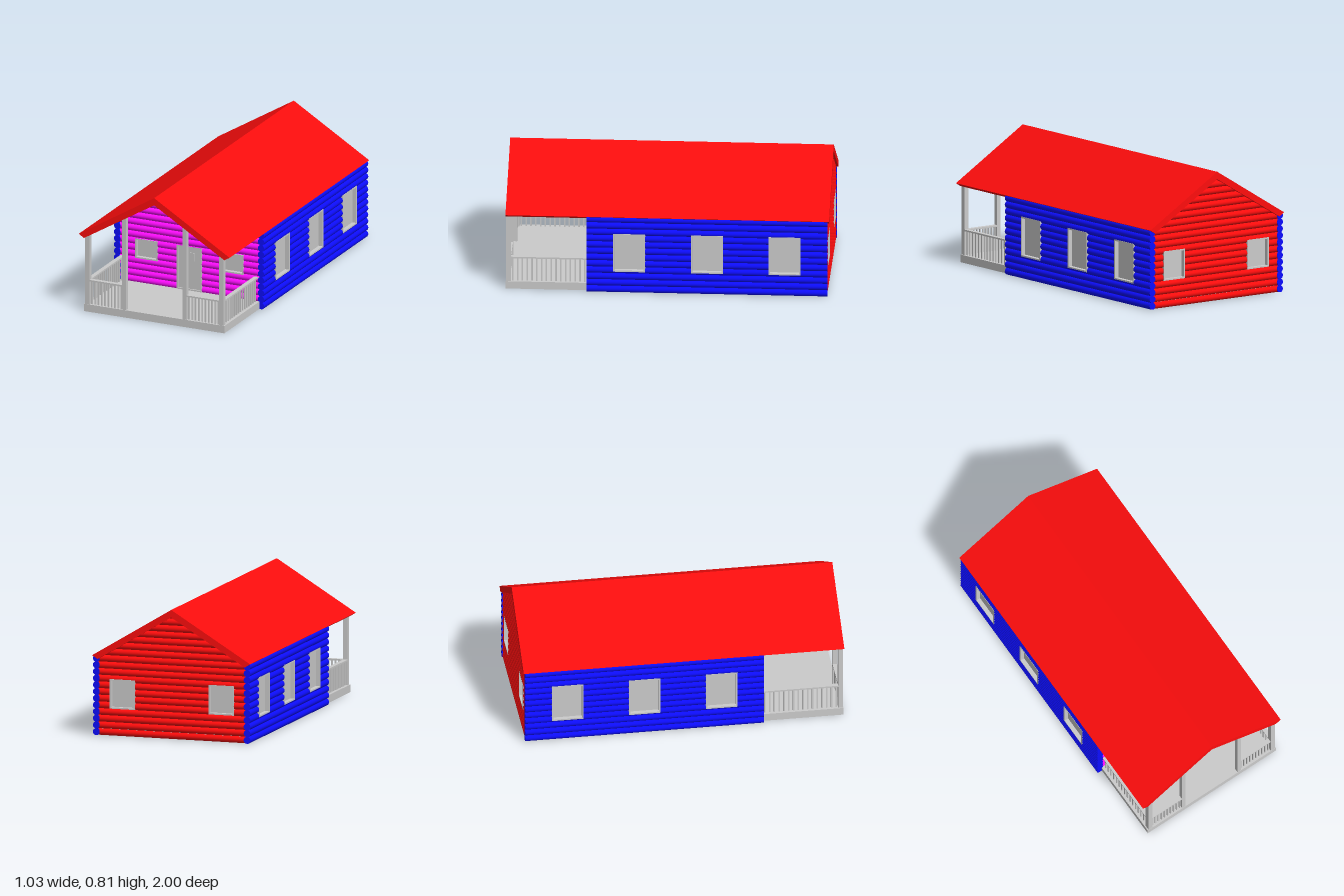
import * as THREE from 'three';
import { mergeGeometries } from 'three/addons/utils/BufferGeometryUtils.js';

const STEP = 0.0418, R = 0.0222;          // log spacing and radius
const SLOPE = 0.6, INNER_PEAK = 0.765;    // underside of the roof
const ceilingAt = x => INNER_PEAK - SLOPE * Math.abs(x);
const mat = color => new THREE.MeshStandardMaterial({ color });
const grey = mat(0xcccccc), red = mat(0xff0d0d), blue = mat(0x0d0dff), magenta = mat(0xff0dff);

function add(parent, name, geometry, material, x = 0, y = 0, z = 0) {
  const mesh = new THREE.Mesh(geometry, material);
  mesh.name = name;
  mesh.position.set(x, y, z);
  parent.add(mesh);
  return mesh;
}

// box given by its limits on each axis
function block(parent, name, [x0, x1], [y0, y1], [z0, z1], material = grey) {
  return add(parent, name, new THREE.BoxGeometry(x1 - x0, y1 - y0, z1 - z0), material,
    (x0 + x1) / 2, (y0 + y1) / 2, (z0 + z1) / 2);
}

// one piece of log along x, kept between heights lo and hi and, on gables, under the roof
function logPiece(x0, x1, cy, lo, hi, gable) {
  const g = new THREE.CylinderGeometry(R, R, x1 - x0, 16);
  g.rotateZ(Math.PI / 2).translate((x0 + x1) / 2, cy, 0);
  const p = g.attributes.position;
  for (let i = 0; i < p.count; i++) {
    const y = Math.min(hi, Math.max(lo, p.getY(i)));
    p.setY(i, y);
    if (gable) {
      const limit = Math.max(0, (INNER_PEAK - y) / SLOPE);
      p.setX(i, Math.max(-limit, Math.min(limit, p.getX(i))));
    }
  }
  return g;
}

// frame and recessed panel filling an opening [x0, x1, y0, y1]
function fillOpening(wall, name, [x0, x1, y0, y1], panelZ) {
  const t = 0.009;
  const rect = (S, a, b, c, d) => new S().moveTo(a, c).lineTo(b, c).lineTo(b, d).lineTo(a, d).closePath();
  const shape = rect(THREE.Shape, x0, x1, y0, y1);
  shape.holes.push(rect(THREE.Path, x0 + t, x1 - t, y0 + t, y1 - t));
  const frame = new THREE.ExtrudeGeometry(shape, { depth: 0.045, bevelEnabled: false });
  add(wall, name + 'Frame', frame, grey, 0, 0, -0.022);
  block(wall, name + 'Panel', [x0 + t, x1 - t], [y0 + t, y1 - t], [panelZ - 0.012, panelZ]);
}

// wall of stacked logs facing +z, with openings left free
function logWall(name, length, rows, material, openings, gable = false) {
  const wall = new THREE.Group(), pieces = [];
  wall.name = name;
  for (let i = 0; i < rows; i++) {
    const cy = (i + 0.5) * STEP, low = cy - R, high = cy + R;
    let x = -length / 2;
    for (const [x0, x1, y0, y1] of openings) {
      if (high <= y0 || low >= y1) continue;
      pieces.push(logPiece(x, x0, cy, 0, 9, gable));
      if (low < y0) pieces.push(logPiece(x0, x1, cy, 0, y0, gable));
      if (high > y1) pieces.push(logPiece(x0, x1, cy, y1, 9, gable));
      x = x1;
    }
    pieces.push(logPiece(x, length / 2, cy, 0, 9, gable));
  }
  add(wall, name + 'Logs', mergeGeometries(pieces), material);
  return wall;
}

// post whose top follows the slope of the roof
function post(parent, x0, x1) {
  const g = new THREE.BoxGeometry(x1 - x0, 1, 0.03);
  g.translate((x0 + x1) / 2, 0, 0.983);
  const p = g.attributes.position;
  for (let i = 0; i < p.count; i++) p.setY(i, p.getY(i) < 0 ? 0.045 : ceilingAt(p.getX(i)) + 0.004);
  add(parent, 'porchPost', g, grey);
}

// handrail with balusters, along x
function railing(length, count) {
  const g = new THREE.Group();
  g.name = 'railing';
  block(g, 'handrail', [-length / 2, length / 2], [0.198, 0.208], [-0.014, 0.014]);
  for (let i = 0; i < count; i++) {
    const x = ((i + 0.5) / count - 0.5) * length;
    block(g, 'baluster', [x - 0.0045, x + 0.0045], [0.048, 0.2], [-0.0045, 0.0045]);
  }
  return g;
}

export function createModel() {
  const house = new THREE.Group();
  house.name = 'logCabin';

  // floor slab under house and porch
  block(house, 'floor', [-0.48, 0.48], [0, 0.048], [-0.975, 1]);

  // side walls with three windows each
  const sideWindows = [-0.48, 0, 0.48].map(c => [c - 0.099, c + 0.099, 0.14, 0.39]);
  for (const s of [-1, 1]) {
    const wall = logWall(s > 0 ? 'leftWall' : 'rightWall', 1.49, 12, blue, sideWindows);
    sideWindows.forEach(o => fillOpening(wall, 'sideWindow', o, -0.004));
    wall.rotation.y = s * Math.PI / 2;
    wall.position.set(s * 0.492, 0, -0.245);
    house.add(wall);
  }

  // front gable wall with door and two windows
  const door = [-0.086, 0.086, 0.048, 0.335];
  const frontWindows = [[-0.37, -0.217, 0.205, 0.333], [0.217, 0.37, 0.205, 0.333]];
  const front = logWall('frontWall', 0.955, 18, magenta, [frontWindows[0], door, frontWindows[1]], true);
  frontWindows.forEach(o => fillOpening(front, 'frontWindow', o, -0.002));
  fillOpening(front, 'door', door, 0.014);
  block(front, 'doorLight', [-0.036, 0.036], [0.241, 0.294], [0.01, 0.018]);
  front.position.z = 0.477;
  house.add(front);

  // back gable wall with two windows
  const backWindows = [[-0.405, -0.24, 0.17, 0.355], [0.24, 0.405, 0.17, 0.355]];
  const back = logWall('backWall', 0.965, 18, red, backWindows, true);
  backWindows.forEach(o => fillOpening(back, 'backWindow', o, -0.002));
  back.rotation.y = Math.PI;
  back.position.z = -0.967;
  house.add(back);

  // porch posts and railings
  for (const s of [-1, 1]) {
    for (const [a, b] of [[0.443, 0.473], [0.194, 0.221]]) post(house, Math.min(s * a, s * b), Math.max(s * a, s * b));
    const frontRail = railing(0.225, 10);
    frontRail.position.set(s * 0.332, 0, 0.983);
    const sideRail = railing(0.475, 16);
    sideRail.rotation.y = Math.PI / 2;
    sideRail.position.set(s * 0.458, 0, 0.735);
    house.add(frontRail, sideRail);
  }

  // gabled roof
  const profile = [[0, 0.812], [-0.516, 0.5], [-0.48, 0.478], [0, INNER_PEAK], [0.48, 0.478], [0.516, 0.5]];
  const roofShape = new THREE.Shape(profile.map(([x, y]) => new THREE.Vector2(x, y)));
  add(house, 'roof', new THREE.ExtrudeGeometry(roofShape, { depth: 2, bevelEnabled: false }), red, 0, 0, -1);

  return house;
}
